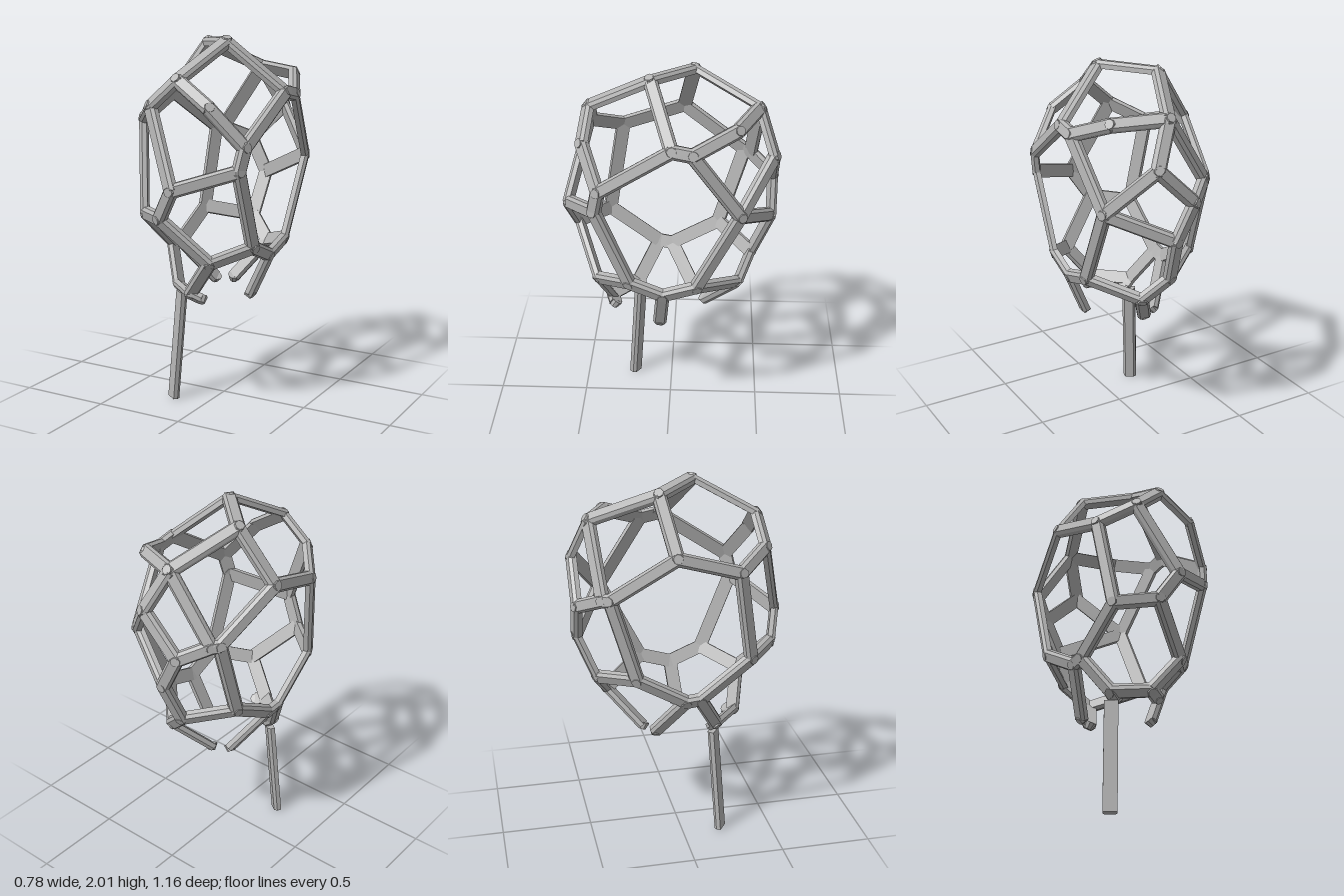
import * as THREE from 'three';

// Joints of the open cage, by short key
const NODES = {
  A: [-0.165, 1.96, -0.12], B: [0.07, 1.98, 0.10], C: [-0.36, 1.68, -0.065],
  D1: [0.36, 1.72, -0.02], D2: [0.36, 1.70, -0.125], E: [-0.013, 1.81, -0.465],
  F: [-0.03, 1.80, 0.43], G: [0.25, 1.79, -0.35], H: [0.31, 1.34, -0.375],
  I: [0.167, 1.67, 0.45], J: [0.325, 1.47, 0.36], K: [-0.19, 1.66, 0.44],
  L: [0.0, 1.25, 0.555], M: [-0.335, 1.575, 0.275], N: [-0.285, 1.075, 0.355],
  O: [-0.1, 1.09, 0.51], P: [0.305, 1.35, 0.385], Q: [0.295, 0.92, 0.21],
  R: [0.295, 0.845, 0.03], S: [0.13, 0.85, 0.39], T: [-0.02, 0.655, 0.33],
  U: [0.295, 0.9, -0.15], V: [0.095, 1.585, -0.545], W: [-0.18, 0.655, 0.19],
  X1: [-0.25, 1.45, -0.435], X2: [-0.28, 1.455, -0.4], Y: [-0.12, 1.38, -0.55],
  Z: [-0.02, 1.185, -0.545], AA: [-0.05, 0.94, -0.445], BB: [0.08, 0.815, -0.375],
  CC: [-0.28, 1.0, -0.265], EE1: [-0.29, 0.86, 0.075], EE2: [-0.285, 0.85, 0.0],
  // open tips
  tipR: [0.195, 0.62, 0.05], tipT: [0.035, 0.63, 0.31], tipW: [-0.14, 0.625, 0.18],
  tipB: [-0.045, 0.62, -0.195], tipE: [-0.135, 0.62, -0.14],
};

// Bars of the cage, from joint to joint
const STRUTS = [
  'A-B A-C A-E B-D1 B-F D1-D2 D1-J D2-H D2-G G-E E-V E-X1 X1-X2 X2-C X1-Y X2-CC',
  'V-Y V-H Y-Z Z-H H-U F-K F-I I-J J-P P-L L-K L-O O-N N-M M-K M-C O-S S-Q Q-P Q-R',
  'R-U U-BB BB-AA AA-Z AA-CC CC-EE2 EE2-EE1 EE1-N EE1-W W-T T-S',
  'R-tipR T-tipT W-tipW BB-tipB EE2-tipE',
].join(' ').split(' ');

const vec = (p) => new THREE.Vector3(...p);

// Outward direction on the egg-shaped shell
const outward = (p) =>
  new THREE.Vector3(p.x / 0.137, (p.y - 1.28) / 0.49, p.z / 0.32).normalize();

// Flat bar section with the outer edges chamfered
function section(width, thick) {
  const w = width / 2, t = thick / 2;
  return new THREE.Shape([
    [-w, -t], [w, -t], [w, t * 0.2], [w * 0.66, t], [-w * 0.66, t], [-w, t * 0.2],
  ].map(([x, y]) => new THREE.Vector2(x, y)));
}

// Bar from a to b, its broad face turned towards normal
function bar(a, b, normal, shape, material) {
  const dir = b.clone().sub(a);
  const geometry = new THREE.ExtrudeGeometry(shape, { depth: dir.length(), bevelEnabled: false });
  dir.normalize();
  const n = normal.clone().addScaledVector(dir, -normal.dot(dir)).normalize();
  const side = new THREE.Vector3().crossVectors(n, dir);
  geometry.applyMatrix4(new THREE.Matrix4().makeBasis(side, n, dir).setPosition(a));
  return new THREE.Mesh(geometry, material);
}

export function createModel() {
  const group = new THREE.Group();
  const grey = new THREE.MeshStandardMaterial({ color: 0xb4b4b4, flatShading: true });
  grey.name = 'plain grey';

  // Cage bars
  const cage = new THREE.Group();
  cage.name = 'cageStruts';
  const strutShape = section(0.074, 0.042);
  for (const edge of STRUTS) {
    const [a, b] = edge.split('-').map((k) => vec(NODES[k]));
    const strut = bar(a, b, outward(a).add(outward(b)), strutShape, grey);
    strut.name = edge.includes('tip') ? 'openStrut' : 'strut';
    cage.add(strut);
  }
  group.add(cage);

  // Faceted caps where bars meet and at the open tips
  const joints = new THREE.Group();
  joints.name = 'cageJoints';
  const jointShape = new THREE.CylinderGeometry(0.025, 0.036, 0.044, 8);
  const up = new THREE.Vector3(0, 1, 0);
  for (const [key, p] of Object.entries(NODES)) {
    const isTip = key.startsWith('tip');
    const joint = new THREE.Mesh(jointShape, grey);
    joint.name = isTip ? 'tipCap' : 'joint';
    joint.position.set(...p);
    joint.quaternion.setFromUnitVectors(up, outward(joint.position));
    if (isTip) joint.scale.setScalar(0.9);
    joints.add(joint);
  }
  group.add(joints);

  // Long leg below the cage
  const leg = bar(vec([-0.2, 0.002, 0.215]), vec([-0.165, 0.61, 0.175]),
    new THREE.Vector3(0.57, 0, -0.82), section(0.074, 0.04), grey);
  leg.name = 'leg';
  group.add(leg);

  return group;
}
